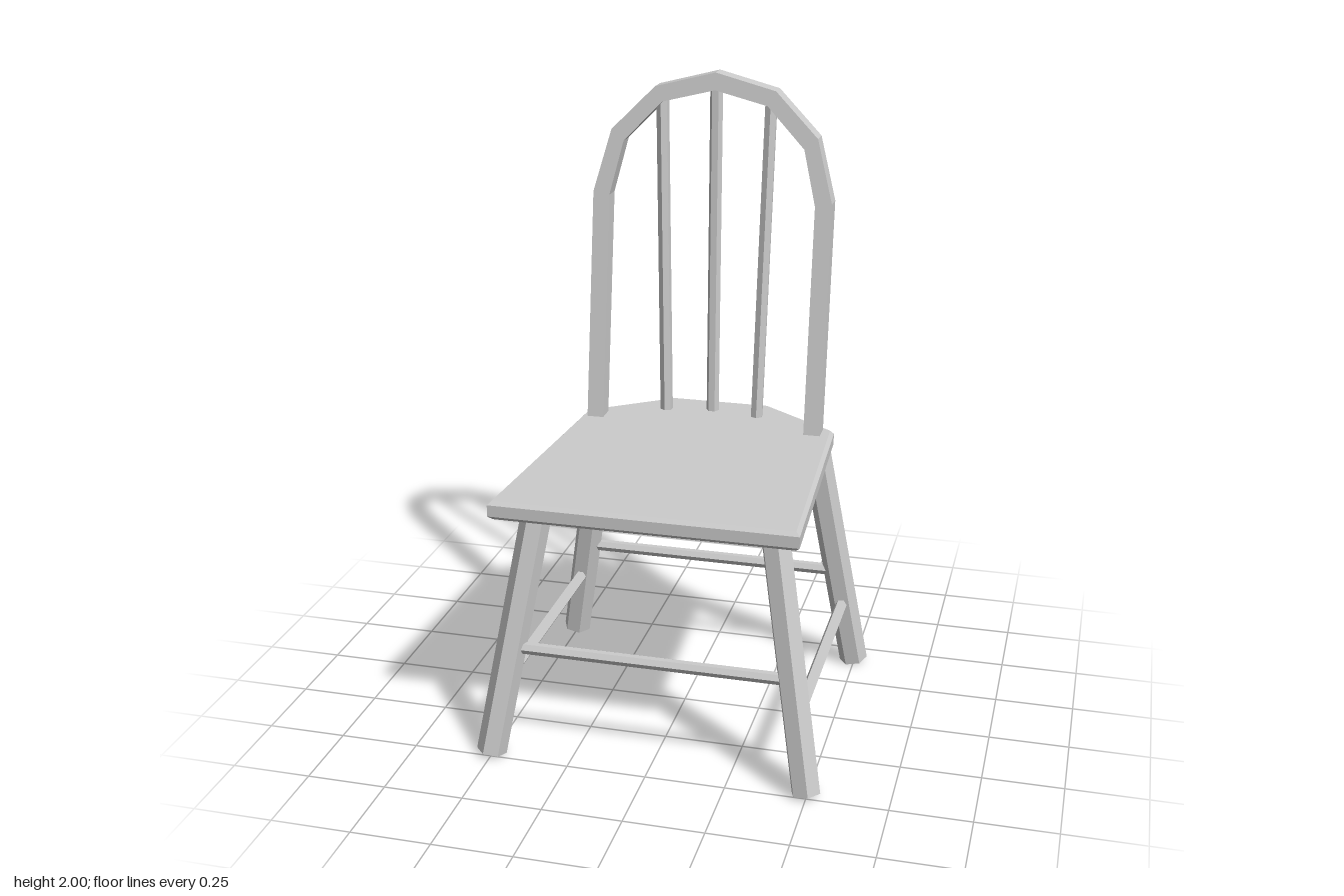
import * as THREE from 'three';

const material = new THREE.MeshStandardMaterial({ color: 0xcccccc, flatShading: true });
const lerp = THREE.MathUtils.lerp;

export function createModel() {
  const chair = new THREE.Group();
  chair.name = 'chair';

  function add(name, geometry) {
    const mesh = new THREE.Mesh(geometry, material);
    mesh.name = name;
    chair.add(mesh);
    return mesh;
  }

  // Hexagonal rod from a to b, with one corner pointing level and square to its lean
  function rod(name, a, b, radius) {
    const from = new THREE.Vector3(...a), to = new THREE.Vector3(...b);
    const y = to.clone().sub(from);
    const geometry = new THREE.CylinderGeometry(radius, radius, y.length(), 6);
    y.normalize();
    const up = Math.abs(y.y) > 0.9999 ? new THREE.Vector3(1, 0, 0) : new THREE.Vector3(0, 1, 0);
    const z = y.clone().cross(up).normalize();
    const x = y.clone().cross(z);
    geometry.applyMatrix4(new THREE.Matrix4().makeBasis(x, y, z));
    const mid = from.add(to).multiplyScalar(0.5);
    geometry.translate(mid.x, mid.y, mid.z);
    return add(name, geometry);
  }

  // Seat: tapered slab with an angled back and chamfered rim
  const outline = [[-0.47, 0.51], [0.47, 0.51], [0.422, -0.335], [0.165, -0.525], [-0.165, -0.525], [-0.422, -0.335]];
  const seat = new THREE.ExtrudeGeometry(
    new THREE.Shape(outline.map(([x, z]) => new THREE.Vector2(x, -z))),
    { depth: 0.036, bevelEnabled: true, bevelSize: 0.012, bevelOffset: -0.012, bevelThickness: 0.012, bevelSegments: 1 }
  );
  seat.rotateX(-Math.PI / 2).translate(-0.005, 0.822, 0);
  add('seat', seat);

  // Splayed legs; legAt gives the centre of a leg at height y
  const legAt = (side, front, y) => {
    const t = (y - 0.01) / 0.8;
    const z = front ? lerp(0.48, 0.357, t) : lerp(-0.41, -0.315, t);
    return [side * lerp(0.5, 0.365, t) - 0.003, y, z];
  };
  for (const front of [true, false]) {
    for (const side of [1, -1]) {
      const name = (front ? 'front' : 'back') + (side > 0 ? 'Left' : 'Right') + 'Leg';
      rod(name, legAt(side, front, 0.01), legAt(side, front, 0.825), 0.047);
    }
    // Cross stretchers
    rod(front ? 'frontStretcher' : 'backStretcher', legAt(-1, front, 0.355), legAt(1, front, 0.355), 0.019);
  }
  // Side stretchers, set lower
  for (const side of [1, -1]) {
    rod(side > 0 ? 'leftStretcher' : 'rightStretcher', legAt(side, false, 0.24), legAt(side, true, 0.24), 0.019);
  }

  // Back hoop: flat faceted arch, leaned backwards
  const cx = -0.012;
  const outer = [[0.393, 0.855], [0.393, 1.61], [0.338, 1.81], [0.197, 1.95]];
  const inner = [[0.339, 0.855], [0.339, 1.6], [0.296, 1.775], [0.172, 1.903]];
  const mirror = (points) => points.map(([x, y]) => [-x, y]).reverse();
  const arch = [...outer, [0, 2], ...mirror(outer), ...mirror(inner).reverse(), [0, 1.945], ...inner.slice().reverse()];
  const hoop = new THREE.ExtrudeGeometry(
    new THREE.Shape(arch.map(([x, y]) => new THREE.Vector2(x, y))),
    { depth: 0.062, bevelEnabled: false }
  );
  const lean = new THREE.Matrix4().set(1, 0, 0, cx, 0, 1, 0, 0, 0, -0.15, 1, -0.331 + 0.15 * 0.87, 0, 0, 0, 1);
  hoop.applyMatrix4(lean);
  hoop.computeVertexNormals();
  add('backHoop', hoop);

  // Back spindles, fanning slightly outwards
  rod('centreSpindle', [cx - 0.002, 0.855, -0.432], [cx - 0.002, 1.965, -0.463], 0.021);
  for (const side of [1, -1]) {
    rod(side > 0 ? 'leftSpindle' : 'rightSpindle',
      [cx + side * 0.155, 0.855, -0.405], [cx + side * 0.178, 1.915, -0.455], 0.021);
  }

  return chair;
}
